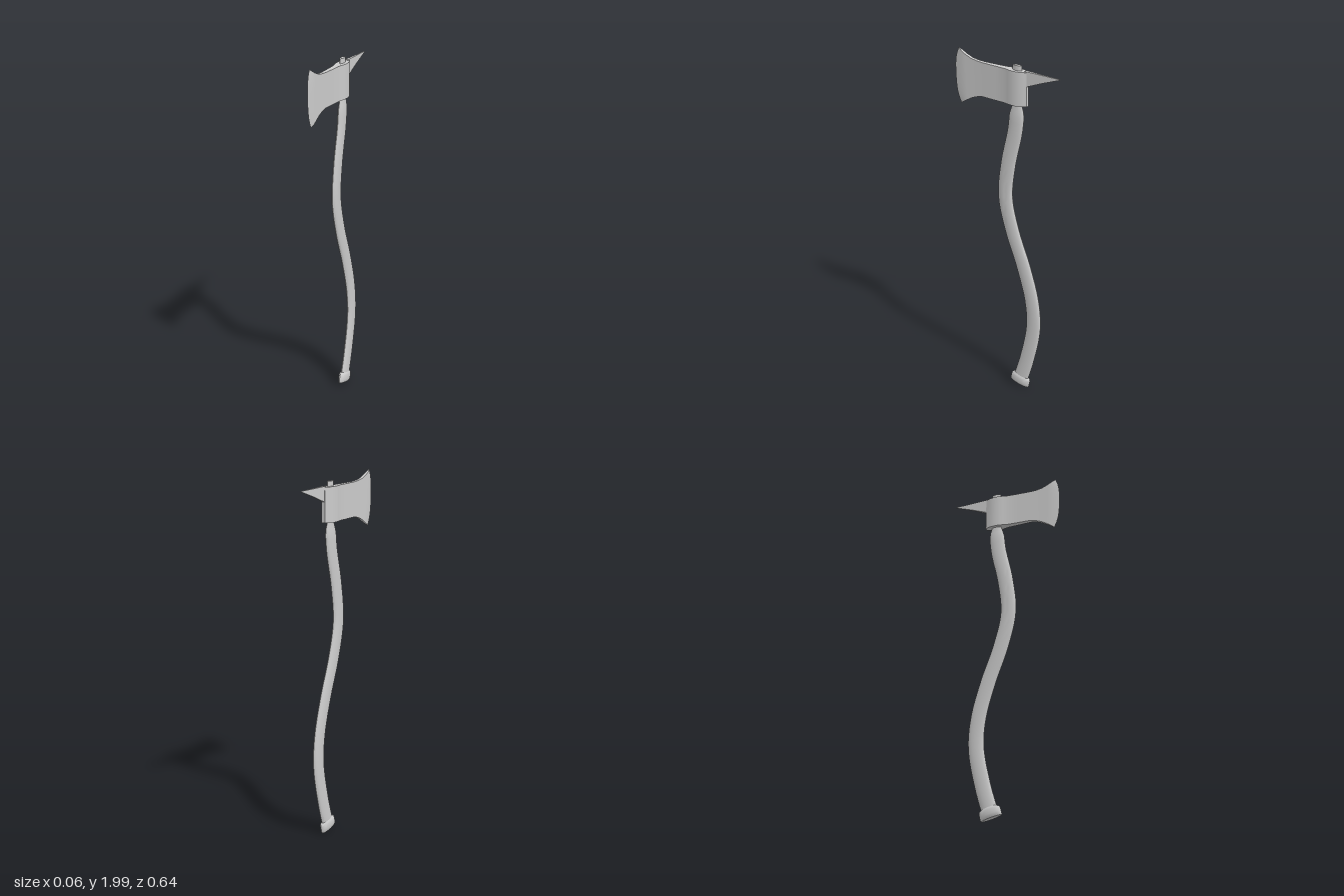
import * as THREE from 'three';
import { toCreasedNormals } from 'three/addons/utils/BufferGeometryUtils.js';

const material = new THREE.MeshStandardMaterial({ color: 0xcccccc });

// Skin a list of closed rings; rings run anticlockwise seen from the far end.
function loft(name, rings, crease, capEnd = true) {
  const pos = [];
  const tri = (...pts) => pts.forEach((p) => pos.push(p.x, p.y, p.z));
  const n = rings[0].length;
  const mid = (ring) => ring.reduce((s, p) => s.add(p), new THREE.Vector3()).divideScalar(n);
  const first = rings[0], last = rings[rings.length - 1];
  const c0 = mid(first), c1 = mid(last);
  for (let j = 0; j < n; j++) {
    const k = (j + 1) % n;
    for (let i = 0; i + 1 < rings.length; i++) {
      tri(rings[i][j], rings[i][k], rings[i + 1][k]);
      tri(rings[i][j], rings[i + 1][k], rings[i + 1][j]);
    }
    tri(c0, first[k], first[j]);
    if (capEnd) tri(c1, last[j], last[k]);
  }
  const g = new THREE.BufferGeometry();
  g.setAttribute('position', new THREE.Float32BufferAttribute(pos, 3));
  const mesh = new THREE.Mesh(toCreasedNormals(g, crease), material);
  mesh.name = name;
  return mesh;
}

// Oval ring around a centre, square to a tangent lying in the side plane.
function oval(c, t, rz, rx, sides = 20) {
  return Array.from({ length: sides }, (_, i) => {
    const a = (i / sides) * Math.PI * 2;
    const d = Math.cos(a) * rz;
    return new THREE.Vector3(Math.sin(a) * rx, c.y - t.z * d, c.z + t.y * d);
  });
}

const v = (y, z) => new THREE.Vector3(0, y, z);

export function createModel() {
  const model = new THREE.Group();
  model.name = 'axe';

  // Curved handle: centre line as [y, z]
  const path = new THREE.CatmullRomCurve3([
    [0.05, -0.095], [0.2, -0.138], [0.43, -0.18], [0.6, -0.167], [0.8, -0.112], [1.0, -0.04],
    [1.2, 0.005], [1.4, -0.012], [1.6, -0.054], [1.69, -0.064],
  ].map(([y, z]) => v(y, z)));
  const steps = 48;
  const rings = [];
  for (let i = 0; i <= steps; i++) {
    rings.push(oval(path.getPointAt(i / steps), path.getTangentAt(i / steps), 0.045, 0.017));
  }
  // Neck and tenon passing through the head
  const up = v(1, 0);
  for (const [y, rz, rx] of [[1.72, 0.039, 0.014], [1.755, 0.028, 0.01], [1.972, 0.027, 0.01]]) {
    rings.push(oval(v(y, -0.066), up, rz, rx));
  }
  model.add(loft('handle', rings, 0.7));

  // Flared knob at the foot of the handle
  const axis = v(0.12, -0.03).normalize();
  const foot = v(0.025, -0.09);
  model.add(loft('knob', [
    [0, 0.06, 0.017], [0.006, 0.062, 0.021], [0.02, 0.062, 0.024],
    [0.046, 0.061, 0.023], [0.052, 0.057, 0.021], [0.06, 0.045, 0.017],
  ].map(([h, rz, rx]) => oval(foot.clone().addScaledVector(axis, h), axis, rz, rx)), 0.6));

  // Axe head stations: top z, top y, bottom z, bottom y, forward bulge, half thickness
  const stations = [
    [-0.127, 1.945, -0.13, 1.757, 0, 0.011],
    [-0.115, 1.945, -0.117, 1.757, 0, 0.016],
    [-0.1, 1.945, -0.1, 1.756, 0, 0.023],
    [-0.08, 1.945, -0.08, 1.755, 0, 0.0275],
    [-0.06, 1.945, -0.06, 1.755, 0, 0.029],
    [-0.04, 1.945, -0.04, 1.755, 0, 0.0275],
    [-0.02, 1.945, -0.02, 1.755, 0, 0.023],
    [0, 1.945, 0, 1.755, 0, 0.0175],
    [0.06, 1.945, 0.06, 1.755, 0, 0.0145],
    [0.145, 1.946, 0.145, 1.756, 0, 0.011],
    [0.18, 1.949, 0.18, 1.747, 0, 0.0095],
    [0.215, 1.956, 0.21, 1.735, 0, 0.009],
    [0.25, 1.971, 0.24, 1.717, 0.003, 0.009],
    [0.275, 1.985, 0.262, 1.703, 0.009, 0.008],
    [0.295, 2.0, 0.283, 1.688, 0.027, 0],
  ];
  const rows = 10;
  const headRings = stations.map(([zt, yt, zb, yb, bulge, w]) => {
    const side = (sx) => Array.from({ length: rows + 1 }, (_, i) => {
      const s = i / rows;
      const z = zb + (zt - zb) * s + bulge * (1 - Math.abs(2 * s - 1) ** 3);
      return new THREE.Vector3(sx * w, yb + (yt - yb) * s, z);
    });
    return [...side(1), ...side(-1).reverse()];
  });
  model.add(loft('axeHead', headRings, 0.4, false));

  // Rear spike, from tip to root: z, top y, bottom y, half thickness
  model.add(loft('spike', [
    [-0.32, 1.945, 1.941, 0.002],
    [-0.22, 1.947, 1.905, 0.005],
    [-0.115, 1.95, 1.862, 0.009],
  ].map(([z, t, b, w]) => [[w, b], [w, t], [-w, t], [-w, b]]
    .map(([x, y]) => new THREE.Vector3(x, y, z))), 0.4));

  return model;
}
